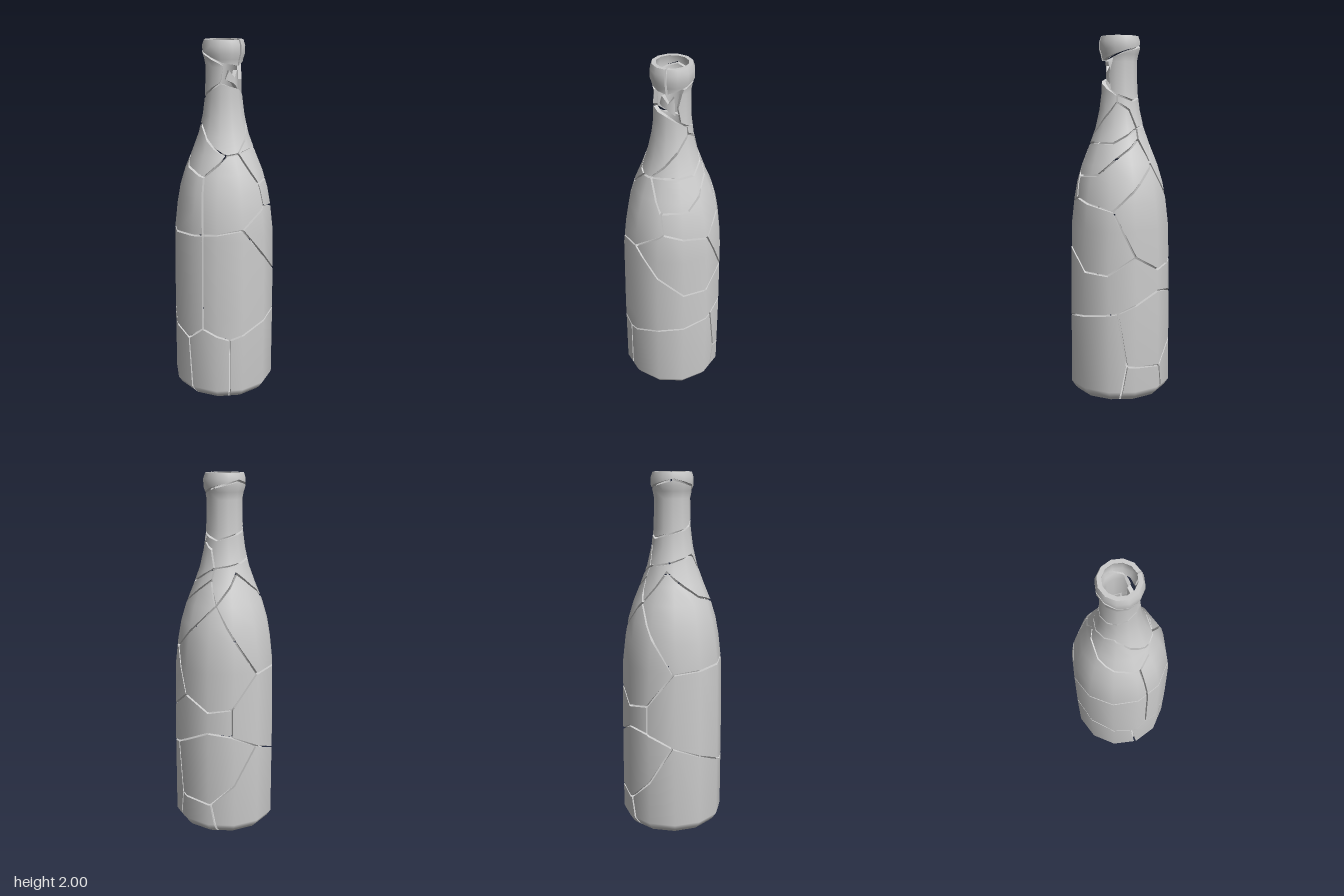
import * as THREE from 'three';

const WALL = 0.022, HALF_GAP = 0.0055, STEP = 30; // twelve-sided bottle
const material = new THREE.MeshStandardMaterial({ color: 0xcccccc, side: THREE.DoubleSide });

// Bottle outline as [height, radius]
const profile = [
  [0, 0.243], [0.02, 0.264], [0.055, 0.287], [0.5, 0.287], [0.95, 0.281], [1.1, 0.264], [1.2, 0.246],
  [1.3, 0.216], [1.4, 0.175], [1.5, 0.138], [1.6, 0.115], [1.7, 0.102], [1.86, 0.098],
  [1.9, 0.106], [1.93, 0.116], [1.97, 0.116], [2, 0.106],
];
const slopes = profile.map((_, i) => {
  const a = profile[Math.max(i - 1, 0)], b = profile[Math.min(i + 1, profile.length - 1)];
  return (b[1] - a[1]) / (b[0] - a[0]);
});

// Radius and smoothed slope at a height
function sample(y) {
  let i = 0;
  while (i < profile.length - 2 && y > profile[i + 1][0]) i++;
  const t = (y - profile[i][0]) / (profile[i + 1][0] - profile[i][0]);
  return {
    r: THREE.MathUtils.lerp(profile[i][1], profile[i + 1][1], t),
    slope: THREE.MathUtils.lerp(slopes[i], slopes[i + 1], t),
  };
}

// Unrolled point (angle in degrees, height) to the faceted surface
function onBottle([deg, y], depth) {
  const col = Math.floor(deg / STEP), t = deg / STEP - col;
  const a = THREE.MathUtils.degToRad(col * STEP), b = a + THREE.MathUtils.degToRad(STEP);
  const r = sample(y).r - depth;
  return new THREE.Vector3(
    r * THREE.MathUtils.lerp(Math.sin(a), Math.sin(b), t), y,
    r * THREE.MathUtils.lerp(Math.cos(a), Math.cos(b), t));
}

function normalAt([deg, y]) {
  const a = THREE.MathUtils.degToRad(deg);
  return new THREE.Vector3(Math.sin(a), -sample(y).slope, Math.cos(a)).normalize();
}

// Pull a shard outline in to leave the crack
function inset(poly) {
  const n = poly.length;
  return poly.map((p, i) => {
    const k = THREE.MathUtils.degToRad(1) * sample(p[1]).r;
    const side = (a, b) => new THREE.Vector2(a[1] - b[1], (b[0] - a[0]) * k).normalize();
    const n1 = side(poly[(i + n - 1) % n], p), n2 = side(p, poly[(i + 1) % n]);
    const m = n1.clone().add(n2).multiplyScalar(HALF_GAP / Math.max(1 + n1.dot(n2), 0.4));
    const edge = p[1] === 0 || p[1] === 2;
    return [p[0] + m.x / k, edge ? p[1] : p[1] + m.y];
  });
}

// Keep the part of a polygon on one side of a grid line
function clip(poly, axis, limit, sign) {
  const out = [];
  poly.forEach((p, i) => {
    const q = poly[(i + 1) % poly.length];
    const dp = (p[axis] - limit) * sign, dq = (q[axis] - limit) * sign;
    if (dp >= 0) out.push(p);
    if ((dp > 0 && dq < 0) || (dp < 0 && dq > 0)) {
      const t = dp / (dp - dq);
      const c = [p[0] + (q[0] - p[0]) * t, p[1] + (q[1] - p[1]) * t];
      c[axis] = limit;
      out.push(c);
    }
  });
  return out;
}

// A curved shard with outer skin, inner skin and broken edges
function makeShard(name, outline, sunk = 0) {
  let poly = outline;
  if (THREE.ShapeUtils.isClockWise(poly.map(([x, y]) => ({ x, y })))) poly = [...poly].reverse();
  poly = inset(poly);
  const pos = [], nor = [];
  const tri = (pts, normals) => pts.forEach((p, i) => {
    pos.push(...p.toArray());
    nor.push(...normals[i].toArray());
  });
  const degs = poly.map((p) => p[0]);
  const first = Math.floor(Math.min(...degs) / STEP), last = Math.floor(Math.max(...degs) / STEP);

  // Skins
  for (let c = first; c <= last; c++) {
    const column = clip(clip(poly, 0, c * STEP, 1), 0, (c + 1) * STEP, -1);
    for (let i = 0; i < profile.length - 1; i++) {
      const cell = clip(clip(column, 1, profile[i][0], 1), 1, profile[i + 1][0], -1);
      if (cell.length < 3) continue;
      const flat = cell.map(([x, y]) => new THREE.Vector2(x / 100, y));
      for (let f of THREE.ShapeUtils.triangulateShape(flat, [])) {
        if (THREE.ShapeUtils.area(f.map((j) => flat[j])) < 0) f = [...f].reverse();
        // Points on the far grid line stay in this column
        const put = (j, d) => onBottle([Math.min(cell[j][0], (c + 1) * STEP - 1e-6), cell[j][1]], d);
        tri(f.map((j) => put(j, sunk)), f.map((j) => normalAt(cell[j])));
        const back = [...f].reverse();
        tri(back.map((j) => put(j, sunk + WALL)), back.map((j) => normalAt(cell[j]).negate()));
      }
    }
  }

  // Broken edges, split wherever they cross the facets
  poly.forEach((p, i) => {
    const q = poly[(i + 1) % poly.length];
    const cuts = [0, 1];
    const cross = (axis, v) => {
      const t = (v - p[axis]) / (q[axis] - p[axis]);
      if (t > 1e-4 && t < 1 - 1e-4) cuts.push(t);
    };
    for (let c = first; c <= last + 1; c++) cross(0, c * STEP);
    profile.forEach(([y]) => cross(1, y));
    cuts.sort((a, b) => a - b);
    for (let k = 0; k < cuts.length - 1; k++) {
      const [a, b] = [cuts[k], cuts[k + 1]].map((t) => [p[0] + (q[0] - p[0]) * t, p[1] + (q[1] - p[1]) * t]);
      const ao = onBottle(a, sunk), ai = onBottle(a, sunk + WALL);
      const bo = onBottle(b, sunk), bi = onBottle(b, sunk + WALL);
      const n = ai.clone().sub(ao).cross(bi.clone().sub(ao)).normalize();
      tri([ao, ai, bi], [n, n, n]);
      tri([ao, bi, bo], [n, n, n]);
    }
  });

  const geometry = new THREE.BufferGeometry();
  geometry.setAttribute('position', new THREE.Float32BufferAttribute(pos, 3));
  geometry.setAttribute('normal', new THREE.Float32BufferAttribute(nor, 3));
  const mesh = new THREE.Mesh(geometry, material);
  mesh.name = name;
  return mesh;
}

export function createModel() {
  const group = new THREE.Group();
  group.name = 'crackedBottle';

  // Crack junctions as [angle, height]; turn() repeats one a full turn away
  const turn = ([d, y], by = 360) => [d + by, y];
  const A = [-45, 0.37], M = [0, 0.45], B = [70, 0.5], P = [80, 0.2], Q = [123, 0.18], R = [150, 0.3];
  const S = [177, 0.52], T = [263, 0.355], U = [283, 0.43], V = [283, 0.98], W = [178, 0.94];
  const N = [120, 0.61], O = [147, 0.59], X = [147, 0.75], Y = [120, 0.73], K = [90, 0.81];
  const C = [-30, 1.01], D = [6, 1.12], E = [64, 1.06], Z = [126, 1.31];
  const F = [2, 1.24], G = [-24, 1.41], H = [112, 1.44], J = [115, 1.5], L = [165, 1.475];
  const G1 = [-47, 1.4], G2 = [278, 1.29], L2 = [225, 1.34], J2 = [287, 1.44];
  const dip = [[0, 0.84], [30, 0.72], [58, 0.71]];
  const bandLow = [[40, 1.25], [68, 1.34]], bandHigh = [[0, 1.42], [60, 1.42]];
  const back = -360;

  const shards = {
    frontBase: [[-45, 0], [72, 0], P, B, M, A],
    sideBase: [[72, 0], [130, 0], Q, P],
    backBase: [[130, 0], [270, 0], T, S, R, Q],
    cornerBase: [[270, 0], [315, 0], turn(A), U, T],
    sideLowerBody: [P, Q, R, S, O, N, B],
    frontBody: [A, M, B, N, O, X, Y, K, ...[...dip].reverse(), C, turn(V, back), turn(U, back)],
    frontUpperBody: [C, ...dip, K, E, D],
    sideUpperBody: [K, Y, X, W, Z, E],
    backBody: [S, T, U, V, W, X, O],
    backShoulder: [W, V, G2, L2, L, Z],
    cornerShoulder: [turn(V, back), C, D, F, G, G1, turn(G2, back)],
    sideShoulder: [D, E, Z, H, bandLow[1], bandLow[0], F],
    shoulderBand: [F, ...bandLow, H, J, bandHigh[1], bandHigh[0], G],
    frontArch: [G, ...bandHigh, J, [100, 1.6], [65, 1.64], [20, 1.53]],
    backBand: [Z, L, L2, G2, turn(G1), J2, [235, 1.56], [168, 1.52], J, H],
    neckFoot: [[65, 1.64], [100, 1.6], J, [168, 1.52], [235, 1.56], J2, turn(G1), turn(G), [380, 1.53],
      [425, 1.64], [425, 1.68], [360, 1.75], [300, 1.78], [225, 1.7], [180, 1.68], [115, 1.65], [65, 1.68]],
    neck: [[42, 1.705], [65, 1.68], [115, 1.65], [180, 1.68], [225, 1.7], [300, 1.78], [310, 1.87],
      [300, 1.88], [240, 1.93], [180, 1.96], [100, 1.92], [50, 1.89], [32, 1.79]],
    lip: [[0, 1.86], [50, 1.89], [100, 1.92], [180, 1.96], [240, 1.93], [300, 1.88], [360, 1.86], [360, 2], [0, 2]],
  };
  for (const [name, outline] of Object.entries(shards)) group.add(makeShard(name, outline));

  // Loose shard fallen inside the hole in the neck
  group.add(makeShard('looseNeckShard', [[-50, 1.79], [-10, 1.77], [32, 1.73], [28, 1.85], [0, 1.81], [-30, 1.85]], 0.024));

  // Bottom plate
  const bottom = new THREE.Mesh(new THREE.CylinderGeometry(0.243, 0.243, 0.018, 12), material);
  bottom.position.y = 0.009;
  bottom.name = 'bottom';
  group.add(bottom);
  return group;
}
